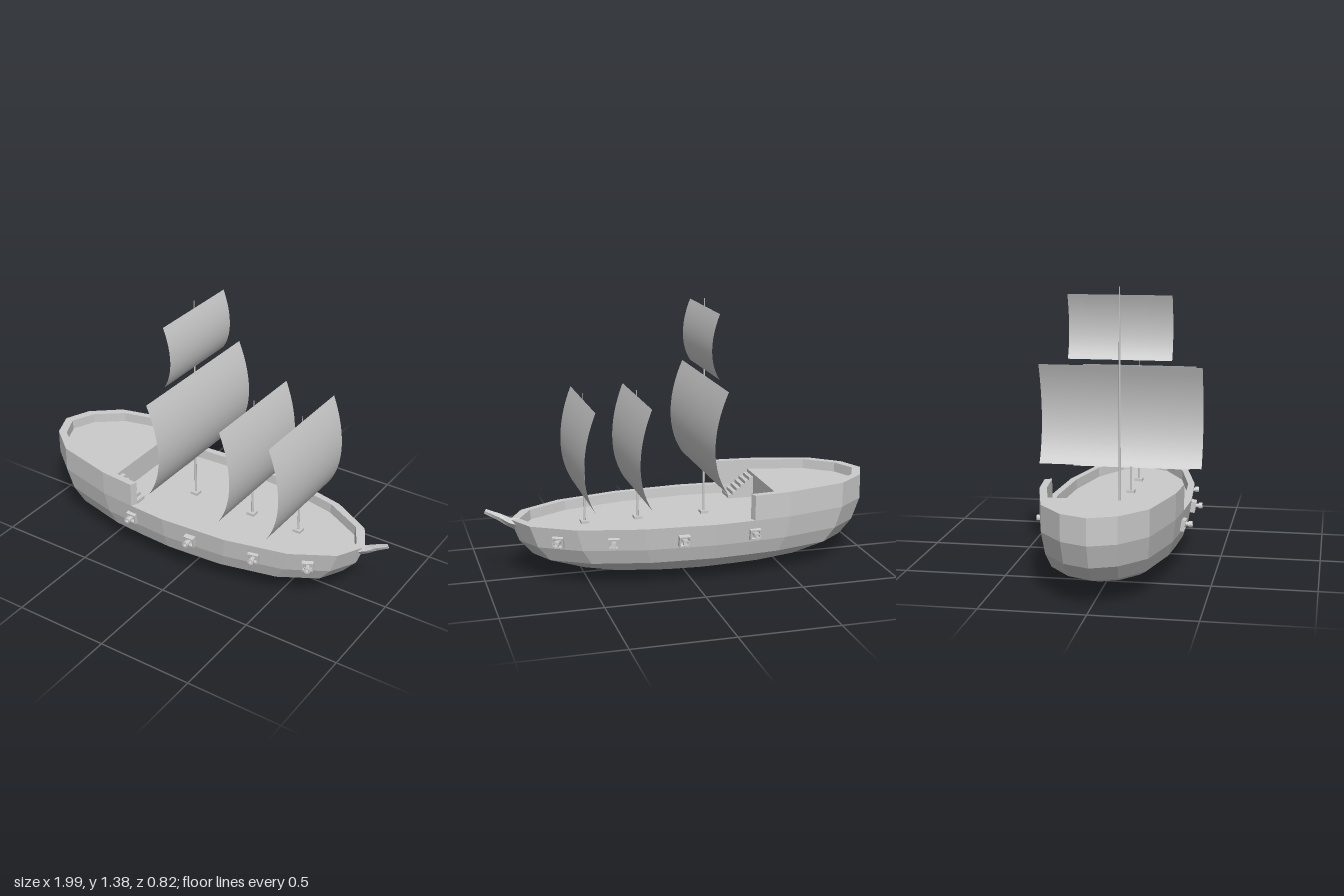
import * as THREE from 'three';

const flat = new THREE.MeshStandardMaterial({ color: 0xcccccc, flatShading: true, side: THREE.DoubleSide });
const smooth = new THREE.MeshStandardMaterial({ color: 0xcccccc, side: THREE.DoubleSide });

// Half outline of the rail seen from above: [x, half width], stern to bow
const HALF = [[-1, 0], [-0.945, 0.13], [-0.8, 0.25], [-0.49, 0.328], [-0.3, 0.345], [-0.1, 0.357],
  [0.26, 0.333], [0.58, 0.26], [0.79, 0.14], [0.85, 0.03], [0.865, 0]];
const MID = -0.07, RAIL = 0.312, DECK = 0.262, AFT_DECK = 0.39, AFT_RAIL = 0.44;
const WALL_END = 4; // outline index where the raised stern wall stops

// Outline scaled about its middle, at height y
const half = (y, sx, sz = sx) => HALF.map(([x, z]) => [MID + (x - MID) * sx, y, z * sz]);
const mirror = (pts) => pts.map(([x, y, z]) => [x, y, -z]).reverse();
const ring = (y, sx, sz) => {
  const h = half(y, sx, sz);
  return [...mirror(h.slice(1, -1)), ...h];
};
const sternArc = (y, sx, sz) => {
  const h = half(y, sx, sz).slice(0, WALL_END + 1);
  return [...mirror(h.slice(1)), ...h];
};

// Skin a list of cross-sections that have equal point counts
function loft(rings, closed = true) {
  const pos = [];
  for (let r = 0; r < rings.length - 1; r++) {
    const a = rings[r], b = rings[r + 1], n = a.length;
    for (let i = 0; i < (closed ? n : n - 1); i++) {
      const j = (i + 1) % n;
      pos.push(...a[i], ...a[j], ...b[j], ...a[i], ...b[j], ...b[i]);
    }
  }
  const g = new THREE.BufferGeometry();
  g.setAttribute('position', new THREE.Float32BufferAttribute(pos, 3));
  g.computeVertexNormals();
  return g;
}

function add(parent, name, geo, x = 0, y = 0, z = 0, mat = flat) {
  const m = new THREE.Mesh(geo, mat);
  m.name = name;
  m.position.set(x, y, z);
  parent.add(m);
  return m;
}

// Half-ellipsoid bottom, flared topside, rail, inner wall and deck in one skin
function addHull(g) {
  const rings = [];
  for (let i = 0; i <= 4; i++) {
    const t = (1 - i / 4) * Math.PI / 2;
    rings.push(ring(0.2 - 0.2 * Math.sin(t), Math.max(0.955 * Math.cos(t), 0.001)));
  }
  rings.push(ring(RAIL, 1), ring(RAIL, 0.95, 0.9), ring(DECK, 0.945, 0.89), ring(DECK, 0.001));
  add(g, 'hull', loft(rings));

  // Raised wall around the stern, with end caps
  const wall = [sternArc(RAIL, 1), sternArc(AFT_RAIL, 1), sternArc(AFT_RAIL, 0.95, 0.9), sternArc(RAIL, 0.95, 0.9)];
  add(g, 'sternWall', loft(wall, false));
  for (const end of [0, wall[0].length - 1]) {
    const [a, b, c, d] = wall.map((w) => w[end]);
    add(g, 'sternWallEnd', loft([[a, b], [d, c]], false));
  }

  // Raised aft deck
  const pts = half(0, 0.948, 0.895).slice(0, 4);
  const shape = new THREE.Shape([...mirror(pts.slice(1)), ...pts].map(([x, , z]) => new THREE.Vector2(x, z)));
  const geo = new THREE.ExtrudeGeometry(shape, { depth: AFT_DECK - DECK, bevelEnabled: false });
  add(g, 'aftDeck', geo.rotateX(Math.PI / 2), 0, AFT_DECK, 0);
}

// Two flights of steps from the main deck to the aft deck
function addStairs(g) {
  const n = 6, run = 0.023, rise = (AFT_DECK - DECK) / (n + 1);
  for (const s of [1, -1]) {
    for (let i = 0; i < n; i++) {
      const top = AFT_DECK - rise * (i + 1);
      add(g, 'step', new THREE.BoxGeometry(run, top - DECK, 0.108),
        -0.468 + run * (i + 0.5), (top + DECK) / 2, s * 0.247);
    }
  }
}

// Spike at the bow: diamond sections narrowing to the tip
function addBowsprit(g) {
  const sections = [[0.83, 0.285, 0.027, 0.03], [0.875, 0.302, 0.02, 0.024], [0.92, 0.33, 0.016, 0.011],
    [0.988, 0.365, 0.011, 0.004], [0.989, 0.365, 0, 0]];
  add(g, 'bowsprit', loft(sections.map(([x, y, h, w]) =>
    [[x - h * 0.5, y + h, 0], [x, y, w], [x + h * 0.5, y - h, 0], [x, y, -w]])));
}

// Sail bellied toward the bow: a curved profile spread across the ship
function addSail(g, x, bottom, top, halfWidth, belly) {
  const h = top - bottom;
  const curve = new THREE.CubicBezierCurve3(
    new THREE.Vector3(x, bottom, 0), new THREE.Vector3(x + belly * 1.45, bottom + h * 0.27, 0),
    new THREE.Vector3(x + belly * 1.25, bottom + h * 0.64, 0), new THREE.Vector3(x, top, 0));
  const geo = new THREE.PlaneGeometry(2 * halfWidth, 1, 1, 14);
  const p = geo.attributes.position;
  for (let i = 0; i < p.count; i++) {
    const c = curve.getPoint(p.getY(i) + 0.5);
    p.setXYZ(i, c.x, c.y, -p.getX(i));
  }
  geo.computeVertexNormals();
  add(g, 'sail', geo, 0, 0, 0, smooth);
}

function addMast(g, x, top, sails) {
  const mast = new THREE.Group();
  mast.name = 'mast';
  g.add(mast);
  const step = top - 0.115;
  add(mast, 'mastFoot', new THREE.BoxGeometry(0.042, 0.014, 0.042), x, DECK + 0.007, 0);
  add(mast, 'mastPole', new THREE.CylinderGeometry(0.004, 0.006, step - DECK, 8), x, (step + DECK) / 2, 0, smooth);
  add(mast, 'mastTop', new THREE.CylinderGeometry(0.002, 0.0025, 0.115, 8), x, top - 0.0575, 0, smooth);
  for (const s of sails) addSail(mast, x, ...s);
}

// Gun port frame with a barrel, pointing along +z
function makeCannon() {
  const c = new THREE.Group();
  c.name = 'cannon';
  const square = (r) => [[-r, -r], [r, -r], [r, r], [-r, r]].map((p) => new THREE.Vector2(...p));
  const shape = new THREE.Shape(square(0.028));
  shape.holes.push(new THREE.Path(square(0.02).reverse()));
  const frame = add(c, 'portFrame', new THREE.ExtrudeGeometry(shape, { depth: 0.03, bevelEnabled: false }), 0, 0, -0.01);
  frame.rotation.x = 0.17;
  const profile = [[0, -0.02], [0.013, -0.02], [0.011, 0.035], [0.016, 0.035], [0.016, 0.053], [0.009, 0.053], [0.009, 0.03], [0, 0.03]];
  const barrel = new THREE.LatheGeometry(profile.map((p) => new THREE.Vector2(...p)), 12).rotateX(Math.PI / 2);
  add(c, 'barrel', barrel);
  return c;
}

function addCannons(g) {
  const spots = [[-0.3, 0.333, -0.03], [0.065, 0.342, 0.03], [0.405, 0.285, 0.22], [0.66, 0.199, 0.48]];
  for (const [x, z, yaw] of spots) {
    for (const s of [1, -1]) {
      const c = makeCannon();
      c.position.set(x, 0.243, s * z);
      c.rotation.y = s > 0 ? yaw : Math.PI - yaw;
      g.add(c);
    }
  }
}

export function createModel() {
  const g = new THREE.Group();
  g.name = 'sailingShip';
  addHull(g);
  addStairs(g);
  addBowsprit(g);
  // Sails: bottom, top, half width, belly
  addMast(g, -0.135, 1.375, [[0.48, 0.985, 0.41, 0.064], [1.015, 1.335, 0.26, 0.038]]);
  for (const x of [0.215, 0.49]) addMast(g, x, 0.93, [[0.395, 0.9, 0.31, 0.058]]);
  addCannons(g);
  return g;
}
